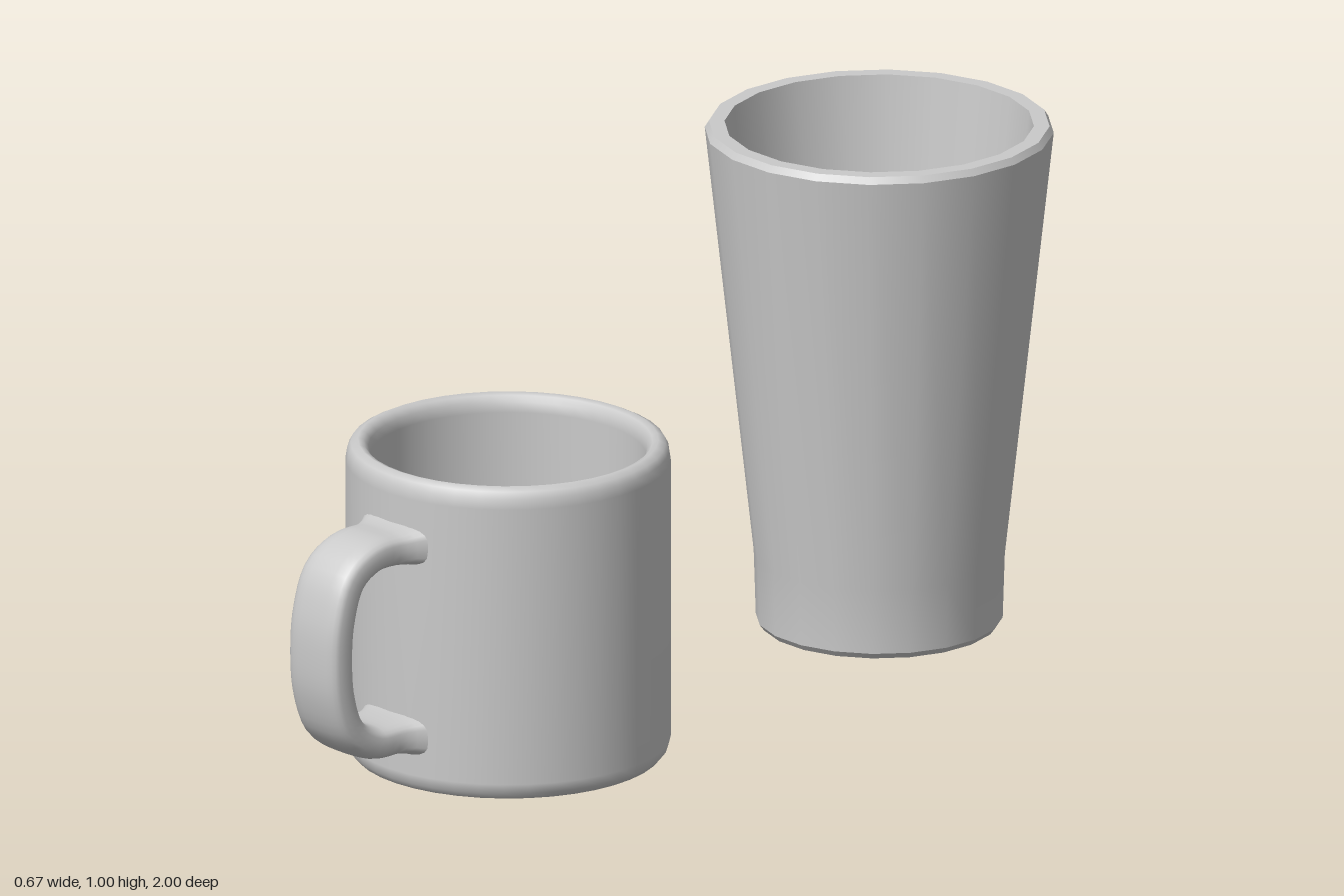
import * as THREE from 'three';
import { mergeGeometries } from 'three/addons/utils/BufferGeometryUtils.js';

const grey = new THREE.MeshStandardMaterial({ color: 0xcacaca });
grey.name = 'plain grey';

function part(name, geometry) {
  const mesh = new THREE.Mesh(geometry, grey);
  mesh.name = name;
  return mesh;
}

// Turned vessel: smooth bands that meet at sharp edges, running from the
// underside, up the outside, over the rim and down to the inner floor
function turned(bands, sides) {
  return mergeGeometries(bands.map((band) =>
    new THREE.LatheGeometry(band.map(([r, y]) => new THREE.Vector2(r, y)), sides)));
}

// Rounded-rectangle strap swept along a curve in the yz plane, flared where it meets the wall
function strapHandle(path, width, thickness) {
  const curve = new THREE.CatmullRomCurve3(path.map(([r, y]) => new THREE.Vector3(0, y, r)));
  const rings = 40, around = 24, positions = [], index = [];
  const soft = (v) => Math.sign(v) * Math.pow(Math.abs(v), 0.6);
  for (let i = 0; i <= rings; i++) {
    const t = i / rings;
    const p = curve.getPointAt(t), d = curve.getTangentAt(t);
    const flare = Math.max(0, 1 - Math.max(0, p.z - 0.285) / 0.07) ** 2;
    for (let j = 0; j < around; j++) {
      const a = (j / around) * Math.PI * 2;
      const u = soft(Math.cos(a)) * (width / 2) * (1 + 0.5 * flare);
      const v = soft(Math.sin(a)) * (thickness / 2) * (1 + 0.4 * flare);
      // offset v lies along the normal to the path
      positions.push(u, p.y + d.z * v, p.z - d.y * v);
    }
  }
  for (let i = 0; i < rings; i++) {
    for (let j = 0; j < around; j++) {
      const k = (j + 1) % around;
      const a = i * around + j, b = i * around + k;
      const c = a + around, e = b + around;
      index.push(a, b, c, b, e, c);
    }
  }
  const g = new THREE.BufferGeometry();
  g.setAttribute('position', new THREE.Float32BufferAttribute(positions, 3));
  g.setIndex(index);
  g.computeVertexNormals();
  return g;
}

export function createModel() {
  const model = new THREE.Group();
  model.name = 'mugAndTumbler';

  // Tall tapered tumbler with a shallow hollow under the base
  const tumbler = part('tumbler', turned([
    [[0, 0.014], [0.12, 0.014]],
    [[0.12, 0.014], [0.19, 0.004], [0.228, 0]],
    [[0.228, 0], [0.237, 0.012]],
    [[0.237, 0.012], [0.241, 0.14], [0.335, 0.992]],
    [[0.335, 0.992], [0.327, 1.005]],
    [[0.327, 1.005], [0.297, 1.005]],
    [[0.297, 1.005], [0.205, 0.14]],
    [[0.205, 0.14], [0, 0.14]],
  ], 20));
  tumbler.position.z = -0.665;
  model.add(tumbler);

  // Mug with soft rim and foot, turned so its handle points slightly to the side
  const mug = new THREE.Group();
  mug.name = 'mug';
  mug.position.set(0.012, 0, 0.475);
  mug.rotation.y = -0.13;
  mug.add(part('mugBody', turned([
    [[0, 0.033], [0.28, 0.033]],
    [[0.28, 0.033], [0.296, 0.037], [0.307, 0.05], [0.312, 0.07],
      [0.312, 0.625], [0.309, 0.645], [0.302, 0.658], [0.288, 0.665], [0.277, 0.661],
      [0.268, 0.65], [0.265, 0.63], [0.265, 0.08]],
    [[0.265, 0.08], [0, 0.08]],
  ], 40)));
  mug.add(part('mugHandle', strapHandle([
    [0.28, 0.532], [0.33, 0.53], [0.4, 0.528], [0.457, 0.495], [0.486, 0.42], [0.493, 0.34],
    [0.486, 0.26], [0.457, 0.188], [0.4, 0.152], [0.33, 0.149], [0.28, 0.147],
  ], 0.138, 0.066)));
  model.add(mug);

  return model;
}
